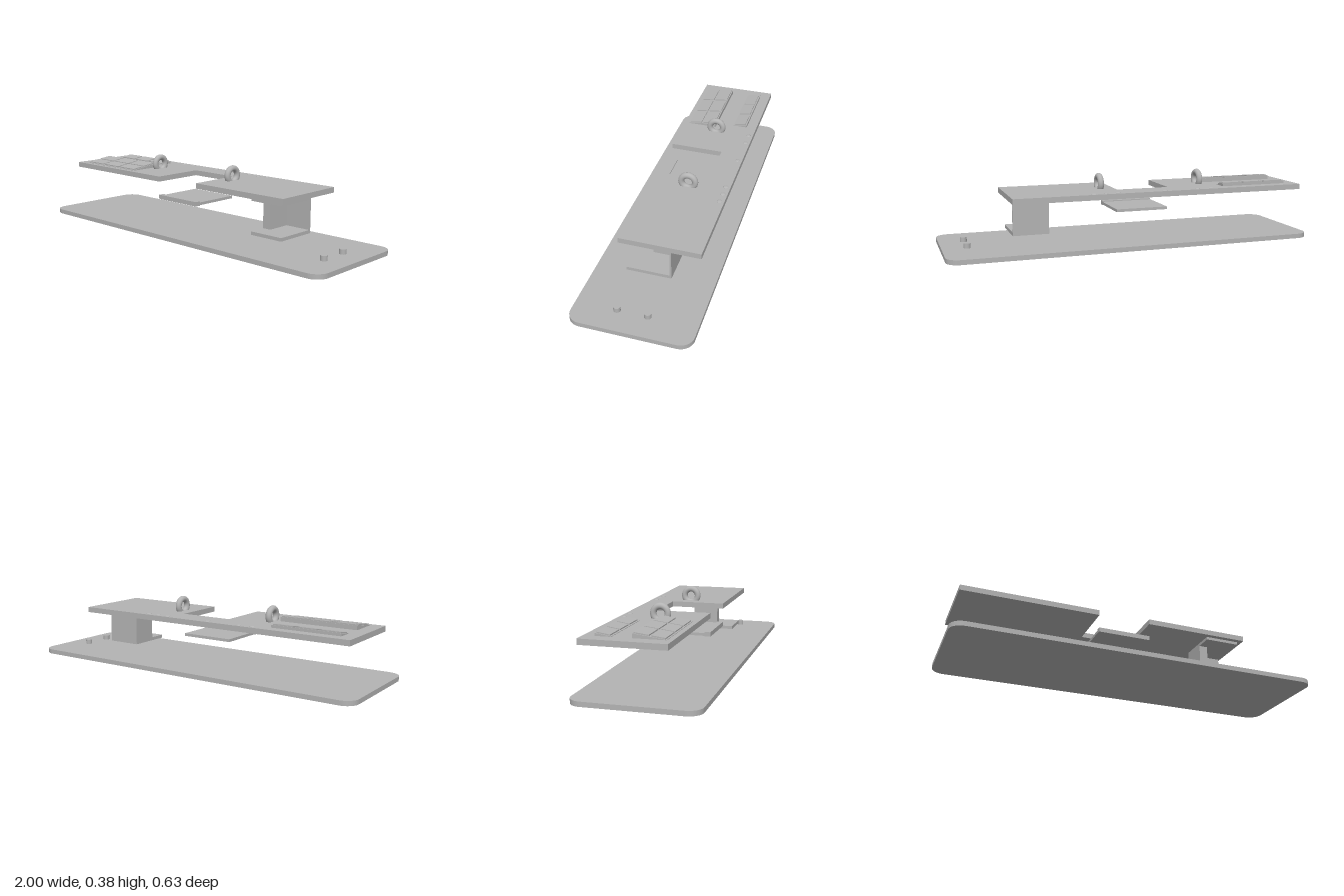
import * as THREE from 'three';
import { toCreasedNormals } from 'three/addons/utils/BufferGeometryUtils.js';

export function createModel() {
  const model = new THREE.Group();
  const grey = new THREE.MeshStandardMaterial({ color: 0xb4b4b4 });
  grey.name = 'plain grey';

  const add = (name, geometry, parent = model) => {
    const mesh = new THREE.Mesh(geometry, grey);
    mesh.name = name;
    parent.add(mesh);
    return mesh;
  };
  const group = (name) => {
    const g = new THREE.Group();
    g.name = name;
    model.add(g);
    return g;
  };
  // Box given by its limits on each axis
  const box = (name, [x0, x1], [y0, y1], [z0, z1], parent) =>
    add(name, new THREE.BoxGeometry(x1 - x0, y1 - y0, z1 - z0)
      .translate((x0 + x1) / 2, (y0 + y1) / 2, (z0 + z1) / 2), parent);
  // Flat slab: outline drawn in (x, -z), raised from y0 to y1
  const slab = (shape, y0, y1) =>
    new THREE.ExtrudeGeometry(shape, { depth: y1 - y0, bevelEnabled: false, curveSegments: 10 })
      .rotateX(-Math.PI / 2).translate(0, y0, 0);
  // Side profile of [z, y] points swept along x
  const prism = (name, points, x0, x1, parent) => {
    const shape = new THREE.Shape(points.map(([z, y]) => new THREE.Vector2(-z, y)));
    return add(name, new THREE.ExtrudeGeometry(shape, { depth: x1 - x0, bevelEnabled: false })
      .rotateY(Math.PI / 2).translate(x0, 0, 0), parent);
  };

  // Base board with rounded corners
  const w = 1, d = 0.313, r = 0.07;
  const outline = new THREE.Shape();
  outline.moveTo(-w + r, -d);
  outline.absarc(w - r, -d + r, r, -Math.PI / 2, 0);
  outline.absarc(w - r, d - r, r, 0, Math.PI / 2);
  outline.absarc(-w + r, d - r, r, Math.PI / 2, Math.PI);
  outline.absarc(-w + r, -d + r, r, Math.PI, Math.PI * 1.5);
  add('baseBoard', toCreasedNormals(slab(outline, 0, 0.025), 0.6));

  // Pegs on the base
  for (const z of [0.096, -0.061])
    add('peg', new THREE.CylinderGeometry(0.018, 0.018, 0.026, 24).translate(0.87, 0.038, z));

  // Upper panel with a notch open to the front
  const panel = new THREE.Shape([
    [-0.955, -0.157], [-0.21, -0.157], [-0.21, 0.134], [0.08, 0.134],
    [0.08, -0.157], [0.667, -0.157], [0.667, 0.267], [-0.955, 0.267],
  ].map(([x, y]) => new THREE.Vector2(x, y)));
  add('upperPanel', slab(panel, 0.271, 0.3));

  // Tray below the notch, with a thicker front lip
  const tray = group('tray');
  box('trayPlate', [-0.21, 0.08], [0.176, 0.191], [-0.128, 0.127], tray);
  box('trayLip', [-0.21, 0.08], [0.173, 0.197], [0.127, 0.158], tray);

  // Hanging bracket, open to the front and to the left
  const bracket = group('bracket');
  box('topFlange', [0.447, 0.64], [0.255, 0.271], [-0.106, 0.131], bracket);
  box('bottomFlange', [0.447, 0.64], [0.079, 0.097], [-0.106, 0.131], bracket);
  box('backWall', [0.447, 0.64], [0.097, 0.255], [-0.106, -0.097], bracket);
  box('sideWall', [0.447, 0.495], [0.097, 0.255], [-0.097, 0.037], bracket);

  // Upright rings
  for (const x of [-0.422, 0.155])
    add('ring', new THREE.TorusGeometry(0.038, 0.0165, 20, 40)
      .rotateY(Math.PI / 2).translate(x, 0.327, -0.047));

  // Sloping key banks: wedge plus rows of three raised keys
  const keyBank = (name, zFront, zBack, x0, x1, rise, rows) => {
    const bank = group(name);
    const y = (z) => 0.302 + rise * (zFront - z) / (zFront - zBack);
    prism('wedge', [[zFront, 0.299], [zFront, y(zFront)], [zBack, y(zBack)], [zBack, 0.299]], x0, x1, bank);
    const step = (x1 - x0) / 3;
    for (const [zf, zb] of rows)
      for (let i = 0; i < 3; i++)
        prism('key', [[zf, y(zf)], [zf, y(zf) + 0.006], [zb, y(zb) + 0.006], [zb, y(zb)]],
          x0 + i * step + 0.006, x0 + (i + 1) * step - 0.006, bank);
  };
  keyBank('frontKeys', 0.13, -0.032, -0.885, -0.46, 0.02, [[0.123, 0.056], [0.045, -0.026]]);
  keyBank('backKeys', -0.13, -0.21, -0.885, -0.507, 0.012, [[-0.138, -0.201]]);

  // Low studs along the rear edge of the panel
  for (const x of [-0.42, -0.34, -0.15, 0.11, 0.175, 0.24])
    add('stud', new THREE.SphereGeometry(0.014, 16, 6, 0, Math.PI * 2, 0, Math.PI / 2)
      .scale(1, 0.25, 1).translate(x, 0.3, -0.241));

  return model;
}
